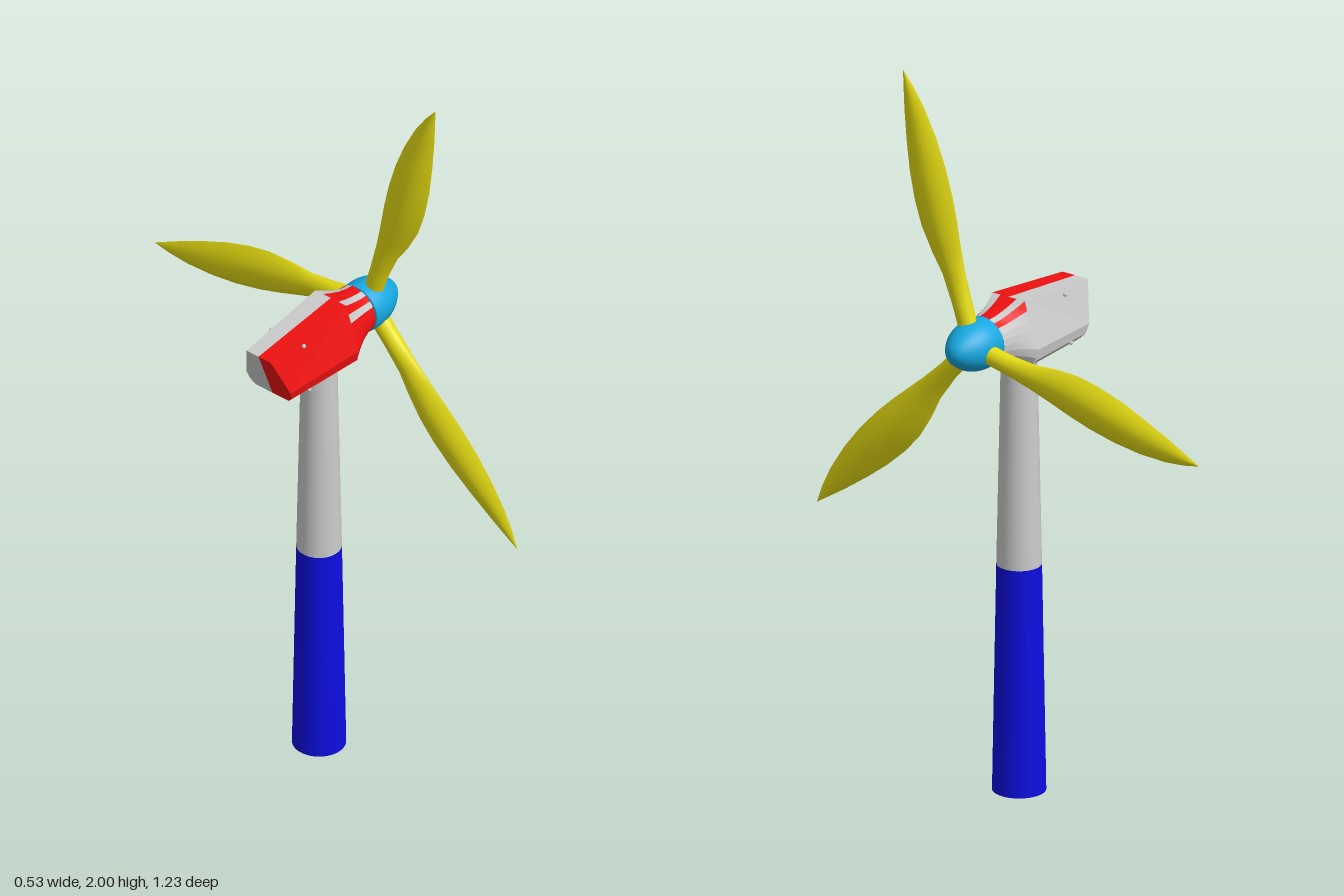
import * as THREE from 'three';

const RED = 0xee1111, GREY = 0xcccccc, BLUE = 0x0d0de0, YELLOW = 0xe6dd12, CYAN = 0x16a8e0;
const AXIS_Y = 1.29, AXIS_Z = 0.11;

function mat(color, flatShading = false) {
  return new THREE.MeshStandardMaterial({ color, flatShading, side: THREE.DoubleSide });
}

function add(parent, name, geometry, material) {
  const mesh = new THREE.Mesh(geometry, material);
  mesh.name = name;
  parent.add(mesh);
  return mesh;
}

// Skin over rings of Vector3, all with the same number of points
function loft(rings, flip = false) {
  const n = rings[0].length, index = [];
  for (let j = 0; j < rings.length - 1; j++) {
    for (let i = 0; i < n - 1; i++) {
      const a = j * n + i, b = a + 1, c = a + n, d = c + 1;
      if (flip) index.push(a, c, b, b, c, d);
      else index.push(a, b, c, b, d, c);
    }
  }
  const g = new THREE.BufferGeometry().setFromPoints(rings.flat());
  g.setIndex(index);
  g.computeVertexNormals();
  return g;
}

// Half cross-section of the housing: x = distance from the midplane, y = height
const HALF = [[0, 1.38], [0.052, 1.38], [0.095, 1.255], [0.09, 1.225], [0.07, 1.205], [0, 1.205]]
  .map(([d, y]) => new THREE.Vector2(d, y));

function makeHousing(side) {
  const group = new THREE.Group();
  group.name = side > 0 ? 'leftOfAxisHousing' : 'rightOfAxisHousing';
  const base = side > 0 ? RED : GREY, other = side > 0 ? GREY : RED;

  // main body, with a sloping rear end
  const front = HALF.map(p => new THREE.Vector3(0.02, p.y, AXIS_Z + side * p.x));
  const rear = HALF.map(p => {
    const y = 1.205 + (p.y - 1.205) * 0.145 / 0.175;
    return new THREE.Vector3(-0.265 + (1.35 - y) * 0.38, y, AXIS_Z + side * p.x * 0.79);
  });
  const middle = rear.map(() => new THREE.Vector3(-0.24, 1.277, AXIS_Z));
  middle.forEach(p => { p.x = -0.265 + (1.35 - p.y) * 0.38; });
  add(group, 'housingShell', loft([rear, front], side < 0), mat(base, true));
  add(group, 'housingRearPanel', loft([middle, rear], side < 0), mat(base, true));

  // neck blending from the faceted section to a circle, in streaked strips
  const N = 12;
  const section = new THREE.Path(HALF).getSpacedPoints(N);
  const rings = [0, 0.25, 0.5, 0.75, 1].map(t => section.map((p, i) => {
    const a = Math.PI / 2 - Math.PI * i / N, k = Math.sin(t * Math.PI / 2);
    const d = THREE.MathUtils.lerp(p.x, 0.066 * Math.cos(a), k);
    const y = THREE.MathUtils.lerp(p.y, AXIS_Y + 0.066 * Math.sin(a), k);
    return new THREE.Vector3(0.02 + 0.105 * t, y, AXIS_Z + side * d);
  }));
  const streaks = side > 0 ? [1, 3, 10] : [0, 2, 10];
  for (let i = 0; i < N; i++) {
    const strip = rings.map(r => [r[i], r[i + 1]]);
    add(group, 'neckStrip', loft(strip, side < 0), mat(streaks.includes(i) ? other : base));
  }

  // small fasteners on the upper and lower bevels
  for (const [d, y] of [[0.055, 1.346], [0.073, 1.217]]) {
    const bolt = add(group, 'bolt', new THREE.SphereGeometry(0.006, 10, 6), mat(GREY));
    bolt.position.set(-0.15, y, AXIS_Z + side * d);
  }
  return group;
}

// Blade stations: distance from the axis, both chord edges, half thickness, edge roundness
const STATIONS = [
  [0.03, -0.025, 0.025, 0.025], [0.12, -0.027, 0.027, 0.024], [0.2, -0.038, 0.034, 0.021],
  [0.26, -0.056, 0.042, 0.023], [0.33, -0.069, 0.051, 0.027], [0.4, -0.07, 0.057, 0.028],
  [0.48, -0.062, 0.058, 0.027], [0.56, -0.047, 0.052, 0.022], [0.64, -0.029, 0.038, 0.014],
  [0.7, -0.013, 0.02, 0.008], [0.747, 0, 0, 0],
];

// Round root that turns into a sharp-edged lens; built pointing up, chord along z
function bladeFace(sign) {
  const rings = STATIONS.map(([s, lead, trail, thick]) => {
    const sharp = THREE.MathUtils.smoothstep(s, 0.1, 0.32);
    return Array.from({ length: 11 }, (_, i) => {
      const a = Math.PI * i / 10, u = -Math.cos(a);
      const h = THREE.MathUtils.lerp(Math.sin(a), 1 - u * u, sharp);
      const c = THREE.MathUtils.lerp(lead, trail, (u + 1) / 2);
      return new THREE.Vector3(sign * thick * h, s, -c);
    });
  });
  return loft(rings, sign < 0);
}

export function createModel() {
  const model = new THREE.Group();
  model.name = 'windTurbine';

  // tower
  const lower = add(model, 'towerBase', new THREE.CylinderGeometry(0.059, 0.07, 0.625, 48), mat(BLUE));
  lower.position.set(-0.032, 0.3125, 0.115);
  const upper = add(model, 'towerTop', new THREE.CylinderGeometry(0.047, 0.059, 0.59, 48), mat(GREY));
  upper.position.set(-0.032, 0.92, 0.115);

  // housing in two mirrored halves
  const housing = new THREE.Group();
  housing.name = 'housing';
  housing.add(makeHousing(1), makeHousing(-1));
  model.add(housing);

  // rotor: nose cone and three blades
  const rotor = new THREE.Group();
  rotor.name = 'rotor';
  rotor.position.set(0.168, AXIS_Y, 0.113);
  const curve = new THREE.SplineCurve([[0.066, -0.048], [0.068, -0.02], [0.066, 0.008],
    [0.056, 0.04], [0.036, 0.072], [0.018, 0.088], [0, 0.093]].map(p => new THREE.Vector2(...p)));
  const profile = [new THREE.Vector2(0, -0.048), ...curve.getPoints(24)];
  profile[profile.length - 1].x = 0;
  const nose = add(rotor, 'noseCone', new THREE.LatheGeometry(profile, 48), mat(CYAN));
  nose.rotation.z = -Math.PI / 2;
  for (let i = 0; i < 3; i++) {
    const blade = new THREE.Group();
    blade.name = 'blade';
    add(blade, 'bladeFrontFace', bladeFace(1), mat(YELLOW));
    add(blade, 'bladeBackFace', bladeFace(-1), mat(YELLOW));
    blade.rotation.x = THREE.MathUtils.degToRad(17.6 + 120 * i);
    rotor.add(blade);
  }
  model.add(rotor);
  return model;
}
